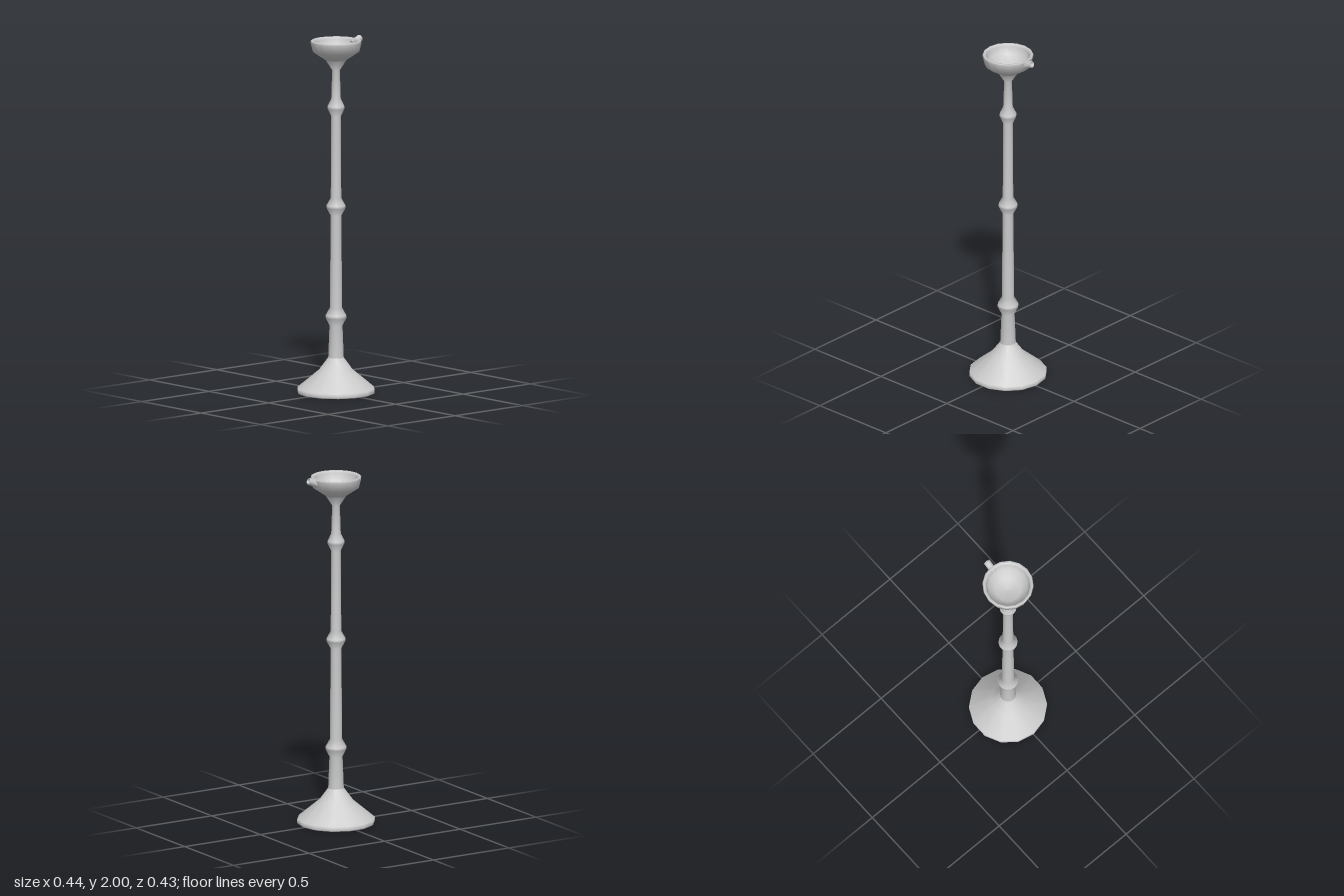
import * as THREE from 'three';

const material = new THREE.MeshStandardMaterial({ color: 0xcccccc });

// Revolves a profile of [radius, height] pairs, listed from the bottom outside
function turned(name, profile, sides) {
  const points = profile.map(([r, y]) => new THREE.Vector2(r, y));
  const mesh = new THREE.Mesh(new THREE.LatheGeometry(points, sides, Math.PI / 2), material);
  mesh.name = name;
  return mesh;
}

// Profile of a swollen ring around the stem
const knob = (y, r, below, above) => [
  [below, y - 0.05], [r, y - 0.008], [r, y + 0.008], [above, y + 0.05],
];

export function createModel() {
  const group = new THREE.Group();
  group.name = 'tallOilLamp';

  // Flared foot with a closed underside
  group.add(turned('foot', [
    [0, 0], [0.214, 0], [0.218, 0.006], [0.217, 0.028], [0.095, 0.13], [0.044, 0.2],
  ], 14));

  // Tapering stem with three knobs and a flared collar under the bowl
  group.add(turned('stem', [
    [0.044, 0.2],
    ...knob(0.43, 0.058, 0.037, 0.035),
    ...knob(1.05, 0.053, 0.03, 0.03),
    ...knob(1.61, 0.047, 0.027, 0.027),
    [0.022, 1.82], [0.06, 1.88],
  ], 14));

  // Hollow bowl with a rounded rim
  group.add(turned('bowl', [
    [0, 1.88], [0.062, 1.88], [0.13, 1.926], [0.143, 1.98], [0.138, 1.988],
    [0.127, 1.986], [0.121, 1.975], [0.112, 1.935], [0.07, 1.905], [0, 1.897],
  ], 16));

  // Short wick spout through the wall, tilted upwards, with a recessed end
  const spout = turned('wickSpout', [
    [0, 0], [0.018, 0], [0.02, 0.004], [0.02, 0.064], [0.017, 0.068],
    [0.012, 0.068], [0.011, 0.055], [0, 0.055],
  ], 8);
  spout.position.set(0.12, 1.956, 0);
  spout.rotation.z = -Math.PI / 2 + 0.42;
  group.add(spout);

  return group;
}
